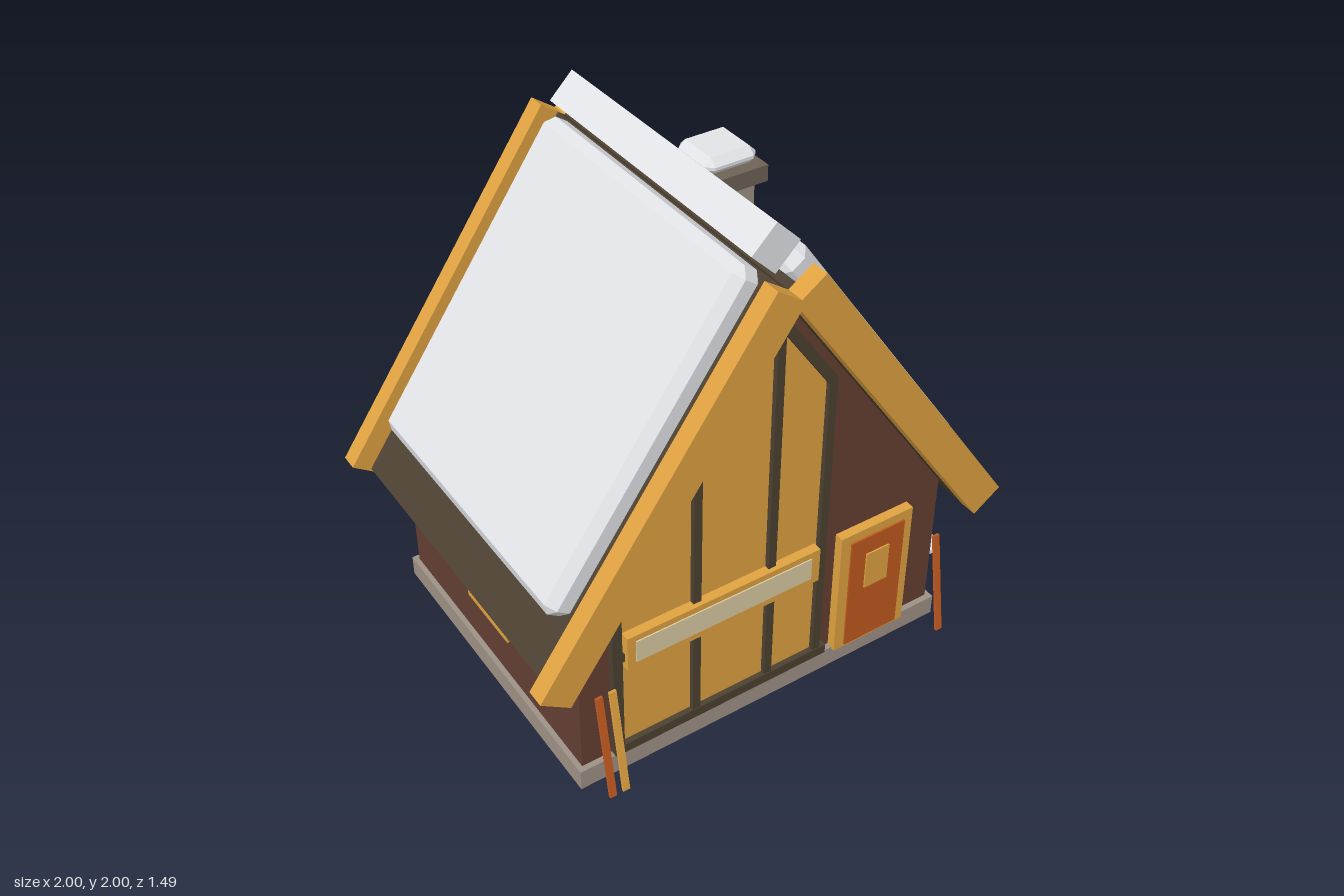
import * as THREE from 'three';
import { ConvexGeometry } from 'three/addons/geometries/ConvexGeometry.js';

const CX = -0.035, CZ = -0.007; // house centre
const APEX = 1.757; // ridge height of the roof's inner face
const PITCH = THREE.MathUtils.degToRad(55);

export function createModel() {
  const model = new THREE.Group();
  model.name = 'cabin';
  const mat = (name, color) => {
    const m = new THREE.MeshStandardMaterial({ color });
    m.name = name;
    return m;
  };
  const gold = mat('golden wood', 0xdfa240);
  const brown = mat('brown wall', 0x643f32);
  const dark = mat('dark timber', 0x4c4031);
  const snow = mat('snow', 0xe2e4e8);
  const stone = mat('stone', 0x9d9185);
  const darkStone = mat('dark stone', 0x6d6255);
  const red = mat('rust red', 0xc0581f);
  const pale = mat('pale panel', 0xd9c9a3);

  const add = (name, geometry, material, parent = model) => {
    const mesh = new THREE.Mesh(geometry, material);
    mesh.name = name;
    parent.add(mesh);
    return mesh;
  };

  // Box given by its limits on each axis
  const block = (name, [x0, x1], [y0, y1], [z0, z1], material, parent) => {
    const mesh = add(name, new THREE.BoxGeometry(x1 - x0, y1 - y0, z1 - z0), material, parent);
    mesh.position.set((x0 + x1) / 2, (y0 + y1) / 2, (z0 + z1) / 2);
    return mesh;
  };

  // Box with all edges chamfered
  const chamferBox = (w, h, d, c) => {
    const pts = [];
    for (const sx of [-1, 1]) for (const sy of [-1, 1]) for (const sz of [-1, 1]) {
      const x = sx * w / 2, y = sy * h / 2, z = sz * d / 2;
      pts.push(
        new THREE.Vector3(x, y - sy * c, z - sz * c),
        new THREE.Vector3(x - sx * c, y, z - sz * c),
        new THREE.Vector3(x - sx * c, y - sy * c, z));
    }
    return new ConvexGeometry(pts);
  };
  const snowBlock = (name, [x0, x1], [y0, y1], [z0, z1], c) => {
    const mesh = add(name, chamferBox(x1 - x0, y1 - y0, z1 - z0, c), snow);
    mesh.position.set((x0 + x1) / 2, (y0 + y1) / 2, (z0 + z1) / 2);
  };

  // Flat outline extruded along z
  const prism = (name, points, z0, z1, material) => {
    const shape = new THREE.Shape(points.map(([x, y]) => new THREE.Vector2(x, y)));
    const geo = new THREE.ExtrudeGeometry(shape, { depth: z1 - z0, bevelEnabled: false });
    geo.translate(0, 0, z0);
    return add(name, geo, material);
  };

  // Piece lying on a roof slope: s runs down from the ridge, n out of the slope
  const onSlope = (name, side, [s0, s1], [n0, n1], [z0, z1], material, chamfer = 0) => {
    const l = s1 - s0, t = n1 - n0, d = z1 - z0;
    const geo = chamfer ? chamferBox(l, t, d, chamfer) : new THREE.BoxGeometry(l, t, d);
    const mesh = add(name, geo, material);
    const s = (s0 + s1) / 2, n = (n0 + n1) / 2;
    mesh.position.set(
      CX + side * (s * Math.cos(PITCH) + n * Math.sin(PITCH)),
      APEX - s * Math.sin(PITCH) + n * Math.cos(PITCH),
      (z0 + z1) / 2);
    mesh.rotation.z = -side * PITCH;
  };

  // Foundation and gabled walls
  block('foundation', [-0.82, 0.75], [0, 0.085], [CZ - 0.648, CZ + 0.648], stone);
  prism('walls', [[-0.8, 0.08], [0.73, 0.08], [0.73, 0.665], [CX, APEX], [-0.8, 0.665]],
    CZ - 0.625, CZ + 0.625, brown);

  // Roof slopes, snow sheets and gable boards
  for (const side of [-1, 1]) {
    const label = side > 0 ? 'left' : 'right';
    onSlope(label + 'Roof', side, [-0.033, 1.48], [0, 0.055], [CZ - 0.668, CZ + 0.668], dark);
    onSlope(label + 'RoofSnow', side, [-0.033, 1.26], [0.045, 0.168], [CZ - 0.6, CZ + 0.6], snow, 0.034);
    for (const end of [-1, 1]) {
      const z = CZ + end * 0.702;
      onSlope(label + (end > 0 ? 'Front' : 'Back') + 'GableBoard', side,
        [-0.033, 1.49], [0, 0.134], [z - 0.035, z + 0.035], gold);
    }
  }
  const ridge = add('ridgeSnow', new THREE.BoxGeometry(0.13, 0.13, 1.2), snow);
  ridge.position.set(CX, 1.908, CZ);
  ridge.rotation.z = Math.PI / 4;

  // Chimney
  block('chimney', [0.235, 0.425], [1.15, 1.65], [-0.342, -0.152], stone);
  block('chimneyCap', [0.208, 0.455], [1.642, 1.707], [-0.38, -0.115], darkStone);
  snowBlock('chimneySnow', [0.22, 0.437], [1.705, 1.773], [-0.355, -0.14], 0.028);

  // Glazed gable with dark framing
  const slopeY = (top, x) => top - Math.abs(x - CX) * Math.tan(PITCH);
  const gable = (top, x0, x1, y0) => [
    [x0, y0], [x1, y0], [x1, slopeY(top, x1)], [CX, top], [x0, slopeY(top, x0)]];
  const frame = new THREE.Shape(gable(1.7, -0.68, 0.2, 0.085).map(p => new THREE.Vector2(...p)));
  frame.holes.push(new THREE.Path(gable(1.635, -0.642, 0.167, 0.125).map(p => new THREE.Vector2(...p))));
  const frameGeo = new THREE.ExtrudeGeometry(frame, { depth: 0.035, bevelEnabled: false });
  frameGeo.translate(0, 0, 0.61);
  add('glazingFrame', frameGeo, dark);
  prism('glazing', gable(1.64, -0.645, 0.17, 0.12), 0.616, 0.626, gold);
  for (const x of [-0.344, CX]) {
    block('mullion', [x - 0.016, x + 0.016], [0.12, slopeY(1.64, x) + 0.01], [0.615, 0.645], dark);
  }
  block('sill', [-0.68, 0.225], [0.085, 0.125], [0.61, 0.648], dark);
  block('midRail', [-0.645, 0.17], [0.525, 0.56], [0.615, 0.643], dark);

  // Balcony panel
  block('balconyBoard', [-0.632, 0.16], [0.495, 0.643], [0.62, 0.662], gold);
  block('balconyPanel', [-0.6, 0.122], [0.525, 0.618], [0.66, 0.667], pale);

  // Door
  block('doorFrame', [0.262, 0.583], [0.076, 0.628], [0.61, 0.655], gold);
  block('door', [0.305, 0.545], [0.09, 0.59], [0.65, 0.662], red);
  block('doorWindow', [0.373, 0.476], [0.35, 0.512], [0.66, 0.668], gold);

  // Side windows
  for (const side of [-1, 1]) {
    const win = new THREE.Group();
    win.name = side > 0 ? 'leftWindow' : 'rightWindow';
    const x = CX + side * 0.765;
    block('windowFrame', [x - 0.018, x + 0.018], [0.288, 0.585], [-0.153, 0.143], gold, win);
    block('windowPane', [x - 0.024, x + 0.024], [0.32, 0.555], [-0.12, 0.11], gold, win);
    model.add(win);
  }

  // Skis leaning against the front
  for (const [x, material] of [[-0.752, red], [-0.699, gold], [0.701, red]]) {
    const ski = add('ski', new THREE.BoxGeometry(0.027, 0.43, 0.011), material);
    ski.position.set(x, 0.232, 0.704);
    ski.rotation.x = -0.17;
  }

  // Snow drift by the wall
  snowBlock('snowDrift', [0.68, 1], [0.008, 0.097], [0.045, 0.422], 0.036);

  return model;
}
